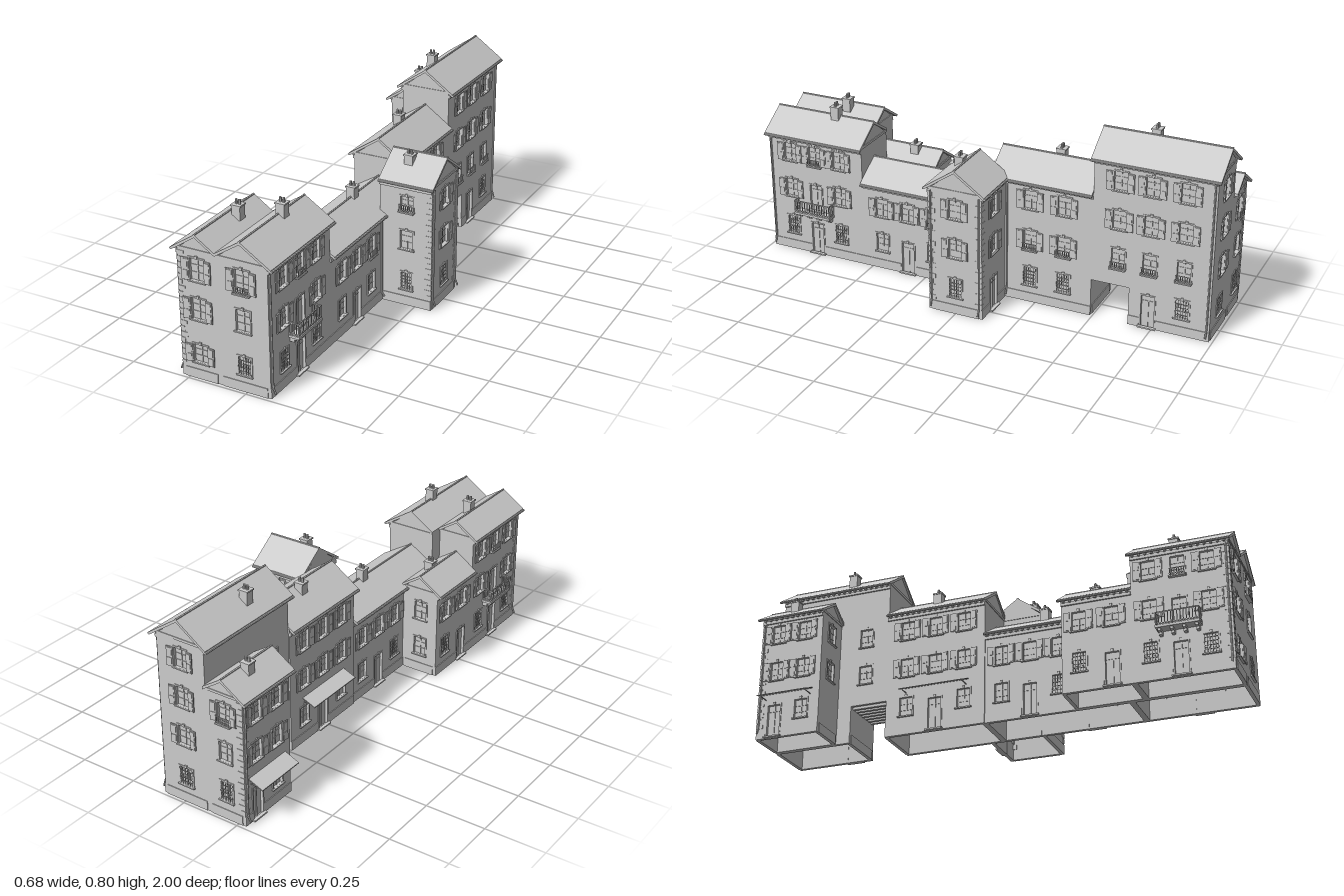
import * as THREE from 'three';

const mat = new THREE.MeshStandardMaterial({ color: 0xcccccc, flatShading: true });
const T = 0.012; // wall thickness

function add(parent, name, geo, x = 0, y = 0, z = 0) {
  const m = new THREE.Mesh(geo, mat);
  m.name = name;
  m.position.set(x, y, z);
  parent.add(m);
  return m;
}
const box = (p, name, w, h, d, x, y, z) => add(p, name, new THREE.BoxGeometry(w, h, d), x, y, z);
function group(parent, name, x = 0, y = 0, z = 0, ry = 0) {
  const g = new THREE.Group();
  g.name = name;
  g.position.set(x, y, z);
  g.rotation.y = ry;
  parent.add(g);
  return g;
}
const polygon = pts => new THREE.Shape(pts.map(p => new THREE.Vector2(p[0], p[1])));
const rect = (w, h, y = 0) => [[-w / 2, y], [w / 2, y], [w / 2, y + h], [-w / 2, y + h]];
const extrude = (shape, depth) => new THREE.ExtrudeGeometry(shape, { depth, bevelEnabled: false });

// Joinery of one opening, z = 0 is the outer wall face.
// Flags: s shutters, r balcony rail, b iron bars, d door
function opening(parent, x, y, w, h, flags) {
  const door = flags.includes('d');
  const g = group(parent, door ? 'door' : 'window', x, y, 0);
  const trim = polygon(rect(w + 0.012, h + 0.006));
  trim.holes.push(polygon(rect(w, h - 0.001, 0.001)));
  add(g, 'surround', extrude(trim, 0.003));
  box(g, 'keystone', 0.01, 0.012, 0.006, 0, h + 0.006, 0.002);
  box(g, door ? 'doorLeaf' : 'pane', w, h, 0.002, 0, h / 2, -0.01);
  box(g, 'mullion', 0.004, h, 0.004, 0, h / 2, -0.008);
  for (const f of door ? [0.82] : [0.35, 0.68]) box(g, 'glazingBar', w, 0.003, 0.003, 0, h * f, -0.008);
  if (door) box(g, 'step', w + 0.02, 0.006, 0.014, 0, 0.003, 0.007);
  else box(g, 'sill', w + 0.016, 0.005, 0.01, 0, -0.002, 0.004);
  if (flags.includes('s')) for (const s of [-1, 1]) {
    const sw = w / 2;
    const leaf = group(g, 'shutter', s * (w / 2 + sw / 2 + 0.003), h / 2, 0.006, -s * 0.12);
    box(leaf, 'shutterLeaf', sw, h, 0.004, 0, 0, 0);
    for (const f of [-0.25, 0.25]) box(leaf, 'shutterPanel', sw * 0.7, h * 0.4, 0.002, 0, h * f, 0.003);
  }
  if (flags.includes('r')) {
    box(g, 'railShelf', w + 0.012, 0.005, 0.016, 0, -0.006, 0.008);
    for (const ry of [0.004, 0.026]) box(g, 'rail', w + 0.006, 0.003, 0.003, 0, ry, 0.013);
    for (let i = 0; i <= 6; i++) box(g, 'baluster', 0.003, 0.028, 0.003, (i / 6 - 0.5) * w, 0.012, 0.013);
  }
  if (flags.includes('b')) {
    for (let i = 0; i <= 5; i++) box(g, 'bar', 0.002, h, 0.002, (i / 5 - 0.5) * w * 0.95, h / 2, 0.002);
    for (const f of [0.2, 0.4, 0.6, 0.8]) box(g, 'crossBar', w, 0.002, 0.002, 0, h * f, 0.002);
  }
}

// A wall on one side of a block; openings are [u, y, flags, width, height]
const SIDES = { px: [Math.PI / 2, -1], nx: [-Math.PI / 2, 1], pz: [0, 1], nz: [Math.PI, -1] };
function wall(parent, side, plane, u0, u1, y0, top, list = []) {
  const [ry, s] = SIDES[side];
  const onX = side.endsWith('x');
  const g = group(parent, 'wall', onX ? plane : 0, 0, onX ? 0 : plane, ry);
  const shape = polygon([[u0, y0], [u1, y0], ...top].map(([u, y]) => [u * s, y]));
  for (const [u, y, flags = '', w = 0.055, h = flags.includes('d') ? 0.14 : 0.08] of list) {
    const bottom = Math.max(y, 0.001);
    shape.holes.push(polygon(rect(w, h, bottom).map(([a, b]) => [a + u * s, b])));
    opening(g, u * s, bottom, w, h, flags);
  }
  add(g, 'masonry', extrude(shape, T), 0, 0, -T);
  // Plinth, interrupted at the doors
  if (y0 === 0) {
    const cuts = list.filter(o => (o[2] || '').includes('d')).map(o => o[0]).sort((a, b) => a - b);
    let a = u0;
    for (const c of [...cuts, null]) {
      const b = c === null ? u1 : c - 0.034;
      if (b > a) box(g, 'plinth', b - a, 0.04, 0.003, s * (a + b) / 2, 0.02, 0.0015);
      a = c + 0.034;
    }
  }
}

// House block with its ridge along z
function block(parent, name, o) {
  const { x0, x1, z0, z1, y0 = 0, eave, ridge, rx = (x0 + x1) / 2, ol = 0.02, or = 0.02, open = {} } = o;
  const g = group(parent, name);
  const e = eave - 0.008;
  wall(g, 'px', x1, z0, z1, y0, [[z1, e], [z0, e]], open.px);
  wall(g, 'nx', x0, z0, z1, y0, [[z1, e], [z0, e]], open.nx);
  const gable = [[x1 - T, e], ...(ridge ? [[rx, ridge - 0.008]] : []), [x0 + T, e]];
  wall(g, 'pz', z1, x0 + T, x1 - T, y0, gable, open.pz);
  wall(g, 'nz', z0, x0 + T, x1 - T, y0, gable, open.nz);
  if (!ridge) return g;

  // Roof slab, folded at the ridge
  const [r0, r1] = o.roof;
  const yl = eave - ol * (ridge - eave) / (rx - x0), yr = eave - or * (ridge - eave) / (x1 - rx);
  const t = 0.012;
  const slab = [[x0 - ol, yl], [x0 - ol, yl - t], [rx, ridge - t], [x1 + or, yr - t], [x1 + or, yr], [rx, ridge]];
  add(g, 'roof', extrude(polygon(slab), r1 - r0), 0, 0, r0);
  add(g, 'ridgeTile', new THREE.CylinderGeometry(0.004, 0.004, r1 - r0, 6), rx, ridge - 0.001, (r0 + r1) / 2).rotation.x = Math.PI / 2;

  // Gable string course
  for (const z of [z0, z1]) box(g, 'stringCourse', x1 - x0, 0.01, 0.006, (x0 + x1) / 2, eave - 0.012, z);

  // Eaves: cornice, rafter ends and gutter
  for (const [s, x, over, y] of [[-1, x0, ol, yl], [1, x1, or, yr]]) {
    if (!over) continue;
    box(g, 'cornice', 0.008, 0.014, z1 - z0, x + s * 0.003, eave - 0.03, (z0 + z1) / 2);
    const n = Math.round((z1 - z0) / 0.025);
    for (let i = 0; i < n; i++)
      box(g, 'rafterEnd', 0.016, 0.009, 0.008, x + s * 0.008, y - 0.009, z0 + (i + 0.5) * (z1 - z0) / n);
    add(g, 'gutter', new THREE.CylinderGeometry(0.005, 0.005, r1 - r0, 8), x + s * (over + 0.002), y - 0.007, (r0 + r1) / 2).rotation.x = Math.PI / 2;
  }
  return g;
}

function chimney(parent, x, z, top, base) {
  const g = group(parent, 'chimney', x, 0, z);
  const h = top - 0.022 - base;
  box(g, 'stack', 0.036, h, 0.036, 0, base + h / 2, 0);
  box(g, 'cap', 0.042, 0.006, 0.042, 0, top - 0.021, 0);
  for (const s of [-1, 1]) add(g, 'pot', new THREE.CylinderGeometry(0.005, 0.006, 0.02, 8), s * 0.007, top - 0.01, 0);
}

// Balcony standing out along local +z
function balcony(parent, x, y, z, ry, w = 0.17, d = 0.045) {
  const g = group(parent, 'balcony', x, y, z, ry);
  box(g, 'slab', w, 0.01, d, 0, 0, d / 2);
  for (const s of [-1, -0.33, 0.33, 1]) for (const i of [0, 1])
    box(g, 'corbel', 0.012, 0.01, d * (0.8 - 0.35 * i), s * w * 0.42, -0.01 - 0.01 * i, d * (0.4 - 0.175 * i));
  const rail = (px, pz, len, turn, n) => {
    const r = group(g, 'railing', px, 0, pz, turn);
    for (const h of [0.012, 0.058]) box(r, 'rail', len, 0.004, 0.004, 0, h, 0);
    for (let i = 0; i <= n; i++) box(r, 'baluster', 0.003, 0.055, 0.003, (i / n - 0.5) * len, 0.032, 0);
  };
  rail(0, d - 0.004, w - 0.004, 0, 14);
  for (const s of [-1, 1]) rail(s * (w / 2 - 0.002), d / 2, d - 0.006, Math.PI / 2, 4);
}

function awning(parent, x, z0, z1, y) {
  const g = group(parent, 'awning', x, y, (z0 + z1) / 2);
  const L = z1 - z0;
  add(g, 'canopy', extrude(polygon([[0, 0], [0, 0.004], [-0.062, -0.022], [-0.062, -0.026]]), L), 0, 0, -L / 2);
  for (const s of [-1, 1]) box(g, 'bracket', 0.05, 0.003, 0.003, -0.025, -0.022, s * (L / 2 - 0.01));
}

function downpipe(parent, x, z, top, dx) {
  const pts = [[0, top], [0, 0.05], [0, 0.03], [dx, 0.018]].map(([a, b]) => new THREE.Vector3(x + a, b, z));
  add(parent, 'downpipe', new THREE.TubeGeometry(new THREE.CatmullRomCurve3(pts, false, 'catmullrom', 0.1), 16, 0.004, 6));
}

function quoins(parent, x, z, top) {
  const sx = Math.sign(x), sz = Math.sign(z);
  for (let i = 0; i * 0.024 + 0.06 < top; i++) {
    const a = i % 2 ? 0.03 : 0.018, b = i % 2 ? 0.018 : 0.03;
    box(parent, 'quoin', a, 0.019, b, x + sx * (0.002 - a / 2), 0.055 + i * 0.024, z + sz * (0.002 - b / 2));
  }
}

// Every column position at every row height
const grid = (us, ys, flags) => us.flatMap(u => ys.map(y => [u, y, flags]));

export function createModel() {
  const m = new THREE.Group();
  m.name = 'villageStreet';

  // Front pair of gabled houses
  block(m, 'frontHouse', {
    x0: -0.115, x1: 0.1, z0: 0.54, z1: 0.985, eave: 0.545, ridge: 0.615, rx: -0.008, ol: 0, roof: [0.535, 0.995],
    open: {
      pz: [[-0.008, 0.07, 'b', 0.055, 0.075], [-0.008, 0.25, '', 0.06, 0.088], [-0.008, 0.41, 'sr', 0.06, 0.09]],
      px: [...grid([0.885, 0.65], [0.25, 0.415], 's'), ...grid([0.885, 0.65], [0.075], 'b'),
        [0.767, 0, 'd'], [0.767, 0.2, 'd', 0.055, 0.12], [0.767, 0.415, 'sr']],
    },
  });
  block(m, 'frontSideHouse', {
    x0: -0.28, x1: -0.115, z0: 0.6, z1: 0.985, eave: 0.545, ridge: 0.6, or: 0, roof: [0.59, 0.995],
    open: {
      pz: [[-0.198, 0.07, 's', 0.06, 0.075], [-0.198, 0.25, 's', 0.06, 0.088], [-0.198, 0.41, 's', 0.06, 0.09]],
      nx: [...grid([0.9, 0.67], [0.25, 0.415], 's'), ...grid([0.9, 0.67], [0.075], 'b'),
        [0.785, 0, 'd'], [0.785, 0.2, 'd', 0.055, 0.12], [0.785, 0.415, 'r']],
    },
  });
  block(m, 'lowSideHouse', {
    x0: -0.28, x1: -0.115, z0: 0.32, z1: 0.6, eave: 0.4, ridge: 0.455, or: 0, roof: [0.31, 0.6],
    open: { nx: [...grid([0.39, 0.52], [0.25], 's'), [0.39, 0.08, 'b'], [0.52, 0, 'd']], nz: grid([-0.2], [0.08, 0.25]) },
  });

  // Low connecting row and the middle house
  block(m, 'lowRow', {
    x0: -0.115, x1: 0.1, z0: -0.06, z1: 0.54, eave: 0.395, ridge: 0.46, rx: -0.008, roof: [-0.06, 0.54],
    open: {
      px: [...grid([0.45, 0.33], [0.24], 's'), [0.21, 0.24, 'sr'], [0.45, 0.08], [0.33, 0, 'd'], [0.21, 0.08]],
      nx: [...grid([0.01, 0.13, 0.25], [0.24], 's'), [0.01, 0.08], [0.13, 0, 'd'], [0.25, 0.08, 'b']],
    },
  });
  block(m, 'middleHouse', {
    x0: -0.12, x1: 0.1, z0: -0.49, z1: -0.06, eave: 0.55, ridge: 0.625, rx: -0.008, roof: [-0.49, -0.055],
    open: {
      px: [...grid([-0.225, -0.37], [0.415], 's'), ...grid([-0.225, -0.37], [0.24], 'sr'), ...grid([-0.225, -0.37], [0.075], 'b')],
      nx: [...grid([-0.4, -0.275, -0.15], [0.25, 0.415], 's'), [-0.4, 0.08], [-0.275, 0, 'd'], [-0.15, 0.08]],
    },
  });

  // Tall house carried over the passage
  const tall = { x0: -0.115, x1: 0.1, z0: -0.985 };
  block(m, 'tallHouseBase', {
    ...tall, z1: -0.65, eave: 0.168,
    open: { px: [[-0.73, 0, 'd'], [-0.87, 0.075, 'b']], nz: [[-0.008, 0.075, 'b', 0.06, 0.075]] },
  });
  block(m, 'tallHouse', {
    ...tall, z1: -0.49, y0: 0.16, eave: 0.705, ridge: 0.78, rx: -0.008, roof: [-1, -0.482],
    open: {
      px: [...grid([-0.6, -0.73, -0.87], [0.405, 0.57], 's'), ...grid([-0.6, -0.73, -0.87], [0.24], 'r')],
      nx: grid([-0.59], [0.25, 0.415]),
      nz: grid([-0.008], [0.25, 0.415, 0.575], 's'),
    },
  });
  box(m, 'passageCeiling', 0.2, 0.008, 0.16, -0.0075, 0.168, -0.57);
  for (let i = 0; i < 7; i++) box(m, 'passageBeam', 0.012, 0.012, 0.16, -0.09 + i * 0.0275, 0.158, -0.57);
  block(m, 'rearSideHouse', {
    x0: -0.28, x1: -0.115, z0: -0.985, z1: -0.71, eave: 0.545, ridge: 0.6, or: 0, roof: [-1, -0.7],
    open: {
      nz: [[-0.198, 0.08, 'b'], [-0.198, 0.25], [-0.198, 0.415, 'sr']],
      nx: [...grid([-0.91, -0.79], [0.25, 0.415], 's'), [-0.91, 0, 'd'], [-0.79, 0.07]],
      pz: grid([-0.198], [0.25, 0.415]),
    },
  });

  // Tower house, its ridge turned to run along x
  const turned = group(m, 'towerWing', 0, 0, 0, Math.PI / 2);
  block(turned, 'towerHouse', {
    x0: -0.115, x1: 0.115, z0: 0.09, z1: 0.32, eave: 0.55, ridge: 0.63, ol: 0.015, or: 0.015, roof: [0.09, 0.33],
    open: {
      pz: [[0, 0.075, 'b'], [0, 0.25, 's'], [0, 0.42, 's']],
      nx: [[0.21, 0.07, 'b', 0.05, 0.075], [0.21, 0.25, '', 0.055, 0.08], [0.21, 0.42, 'r', 0.055, 0.06]],
      px: [[0.21, 0, 'd'], [0.21, 0.25, 's'], [0.21, 0.42, 's']],
    },
  });

  for (const c of [[-0.22, -0.87, 0.64, 0.57], [-0.07, -0.68, 0.8, 0.72], [-0.038, -0.3, 0.66, 0.58], [0.185, 0.04, 0.65, 0.585],
    [-0.01, 0.16, 0.52, 0.43], [-0.175, 0.43, 0.49, 0.42], [-0.165, 0.75, 0.648, 0.57], [0, 0.71, 0.675, 0.585]])
    chimney(m, ...c);

  balcony(m, 0.1, 0.195, 0.767, Math.PI / 2);
  balcony(m, -0.28, 0.195, 0.785, -Math.PI / 2);
  awning(m, -0.28, -0.96, -0.74, 0.19);
  awning(m, -0.115, -0.41, -0.13, 0.2);

  for (const p of [[0.104, 0.975, 0.53, 0.012], [-0.285, 0.975, 0.53, -0.012], [0.325, 0.105, 0.53, 0.012], [0.325, -0.105, 0.53, 0.012],
    [0.105, -0.975, 0.68, 0.012], [-0.285, -0.975, 0.53, -0.012], [0.105, -0.125, 0.53, 0.012], [0.105, 0.125, 0.38, 0.012]])
    downpipe(m, ...p);

  for (const q of [[-0.28, 0.985, 0.53], [0.32, -0.115, 0.53], [0.32, 0.115, 0.53], [-0.28, -0.985, 0.53]]) quoins(m, ...q);
  return m;
}
